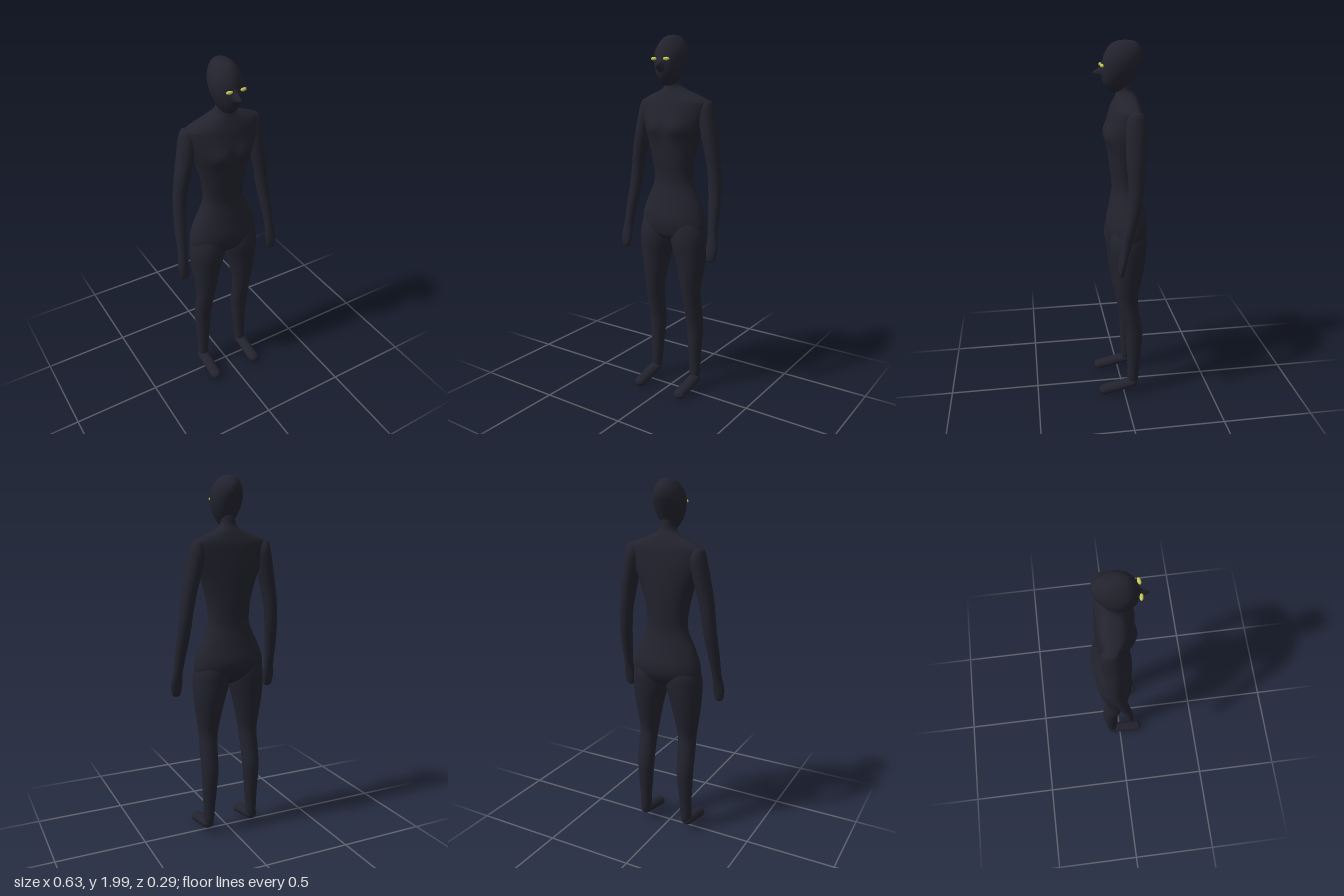
import * as THREE from 'three';

const skin = new THREE.MeshStandardMaterial({ color: 0x23232f });
skin.name = 'charcoal body';
const eyeColour = new THREE.MeshStandardMaterial({ color: 0xc8c852 });
eyeColour.name = 'yellow eyes';

const bump = (x, y, cx, cy, sx, sy) => Math.exp(-(((x - cx) / sx) ** 2) - ((y - cy) / sy) ** 2);

// Smooth loft through horizontal sections listed top to bottom:
// [y, centre x, half width, front z, back z, z of the widest point]
function loft(sections, rows = 60, sides = 48, push = null) {
  const a = [], b = [];
  for (const [y, cx, rx, zf, zb, zs = (zf + zb) / 2] of sections) {
    a.push(new THREE.Vector3(cx, y, zs));
    b.push(new THREE.Vector3(rx, zf - zs, zs - zb));
  }
  const centre = new THREE.CatmullRomCurve3(a, false, 'catmullrom', 0.5);
  const size = new THREE.CatmullRomCurve3(b, false, 'catmullrom', 0.5);
  const pos = [], idx = [];
  for (let i = 0; i <= rows; i++) {
    const c = centre.getPoint(i / rows), s = size.getPoint(i / rows);
    for (let j = 0; j < sides; j++) {
      const t = (j / sides) * Math.PI * 2, sn = Math.sin(t);
      const x = c.x + s.x * Math.cos(t);
      let z = c.z + sn * (sn > 0 ? s.y : s.z);
      if (push && sn > 0) z += push(x, c.y) * Math.min(1, sn * 2);
      pos.push(x, c.y, z);
    }
  }
  const top = pos.length / 3, bottom = top + 1, last = rows * sides;
  for (const p of [a[0], a[a.length - 1]]) pos.push(p.x, p.y, p.z);
  for (let j = 0; j < sides; j++) {
    const k = (j + 1) % sides;
    for (let i = 0; i < rows; i++) {
      const r = i * sides, n = r + sides;
      idx.push(r + j, r + k, n + j, r + k, n + k, n + j);
    }
    idx.push(top, k, j, bottom, last + j, last + k);
  }
  const g = new THREE.BufferGeometry();
  g.setAttribute('position', new THREE.Float32BufferAttribute(pos, 3));
  g.setIndex(idx);
  g.computeVertexNormals();
  return g;
}

function add(parent, name, geometry, material = skin) {
  const m = new THREE.Mesh(geometry, material);
  m.name = name;
  parent.add(m);
  return m;
}

export function createModel() {
  const model = new THREE.Group();
  model.name = 'figure';

  // Neck, shoulders, chest, waist and hips in one skin
  add(model, 'torso', loft([
    [1.80, 0, 0.04, 0.03, -0.06],
    [1.75, 0, 0.042, 0.022, -0.065],
    [1.72, 0, 0.075, 0.03, -0.08, -0.04],
    [1.69, 0, 0.15, 0.042, -0.092, -0.05],
    [1.665, 0, 0.2, 0.052, -0.1, -0.055],
    [1.64, 0, 0.21, 0.06, -0.105, -0.055],
    [1.58, 0, 0.2, 0.073, -0.11, -0.05],
    [1.52, 0, 0.18, 0.078, -0.113, -0.04],
    [1.45, 0, 0.155, 0.073, -0.114, -0.03],
    [1.35, 0, 0.128, 0.062, -0.112],
    [1.26, 0, 0.117, 0.05, -0.108],
    [1.20, 0, 0.126, 0.05, -0.11],
    [1.10, 0, 0.172, 0.068, -0.13],
    [1.03, 0, 0.195, 0.08, -0.145],
    [0.97, 0, 0.198, 0.076, -0.137],
    [0.92, 0, 0.16, 0.055, -0.105],
    [0.89, 0, 0.05, 0.0, -0.06],
  ], 110, 64, (x, y) => 0.02 * bump(Math.abs(x), y, 0.07, 1.52, 0.06, 0.055)));

  // Egg-shaped head with the nose drawn out of the face
  add(model, 'head', loft([
    [2.0, 0, 0.004, -0.015, -0.03],
    [1.995, 0, 0.025, 0.02, -0.065],
    [1.98, 0, 0.045, 0.052, -0.093],
    [1.95, 0, 0.067, 0.075, -0.112, -0.01],
    [1.915, 0, 0.08, 0.09, -0.114, 0],
    [1.88, 0, 0.083, 0.097, -0.102, 0],
    [1.84, 0, 0.077, 0.1, -0.083, 0.005],
    [1.80, 0, 0.062, 0.096, -0.062, 0.01],
    [1.77, 0, 0.045, 0.082, -0.045, 0.015],
    [1.75, 0, 0.03, 0.062, -0.025],
    [1.74, 0, 0.006, 0.035, 0.015],
  ], 90, 96, (x, y) => 0.045 * bump(x, y, 0, 1.838, 0.014, y > 1.838 ? 0.026 : 0.014)));

  for (const side of [1, -1]) {
    const label = side > 0 ? 'left' : 'right';
    const limb = (s) => loft(s.map(([y, cx, ...rest]) => [y, cx * side, ...rest]), 80, 32);

    // Arm hangs slightly bent and ends in a mitten hand
    add(model, label + 'Arm', limb([
      [1.665, 0.195, 0.012, -0.035, -0.07],
      [1.65, 0.195, 0.028, -0.015, -0.09],
      [1.60, 0.193, 0.044, 0.0, -0.105],
      [1.50, 0.212, 0.044, 0.006, -0.1],
      [1.40, 0.234, 0.041, 0.004, -0.09],
      [1.30, 0.25, 0.037, -0.002, -0.083],
      [1.20, 0.26, 0.035, 0.004, -0.07],
      [1.10, 0.27, 0.032, 0.02, -0.045],
      [1.00, 0.277, 0.026, 0.037, -0.018],
      [0.95, 0.281, 0.027, 0.045, -0.002],
      [0.90, 0.284, 0.032, 0.053, 0.01],
      [0.86, 0.284, 0.03, 0.057, 0.018],
      [0.83, 0.284, 0.023, 0.054, 0.026],
      [0.82, 0.284, 0.006, 0.045, 0.036],
    ]));

    // Leg from inside the hip down to the ankle
    add(model, label + 'Leg', limb([
      [1.05, 0.095, 0.07, 0.045, -0.1],
      [0.97, 0.1, 0.097, 0.068, -0.126],
      [0.90, 0.103, 0.102, 0.073, -0.124],
      [0.80, 0.114, 0.086, 0.061, -0.112],
      [0.70, 0.119, 0.068, 0.05, -0.094],
      [0.60, 0.122, 0.053, 0.034, -0.078],
      [0.50, 0.126, 0.05, 0.012, -0.09],
      [0.40, 0.127, 0.048, -0.008, -0.105],
      [0.30, 0.129, 0.042, -0.014, -0.1],
      [0.20, 0.131, 0.035, -0.019, -0.09],
      [0.10, 0.134, 0.03, -0.02, -0.083],
      [0.06, 0.136, 0.022, -0.03, -0.074],
    ]));

    // Rounded foot sloping down to the toe
    const foot = add(model, label + 'Foot', new THREE.CapsuleGeometry(0.028, 0.17, 10, 28));
    foot.scale.x = 1.18;
    foot.rotation.x = Math.PI / 2 + 0.21;
    foot.position.set(0.138 * side, 0.055, 0.034);

    // Small almond eye
    const eye = add(model, label + 'Eye', new THREE.SphereGeometry(1, 20, 14), eyeColour);
    eye.scale.set(0.018, 0.009, 0.009);
    eye.position.set(0.039 * side, 1.878, 0.101);
    eye.rotation.y = 0.15 * side;
  }
  return model;
}
